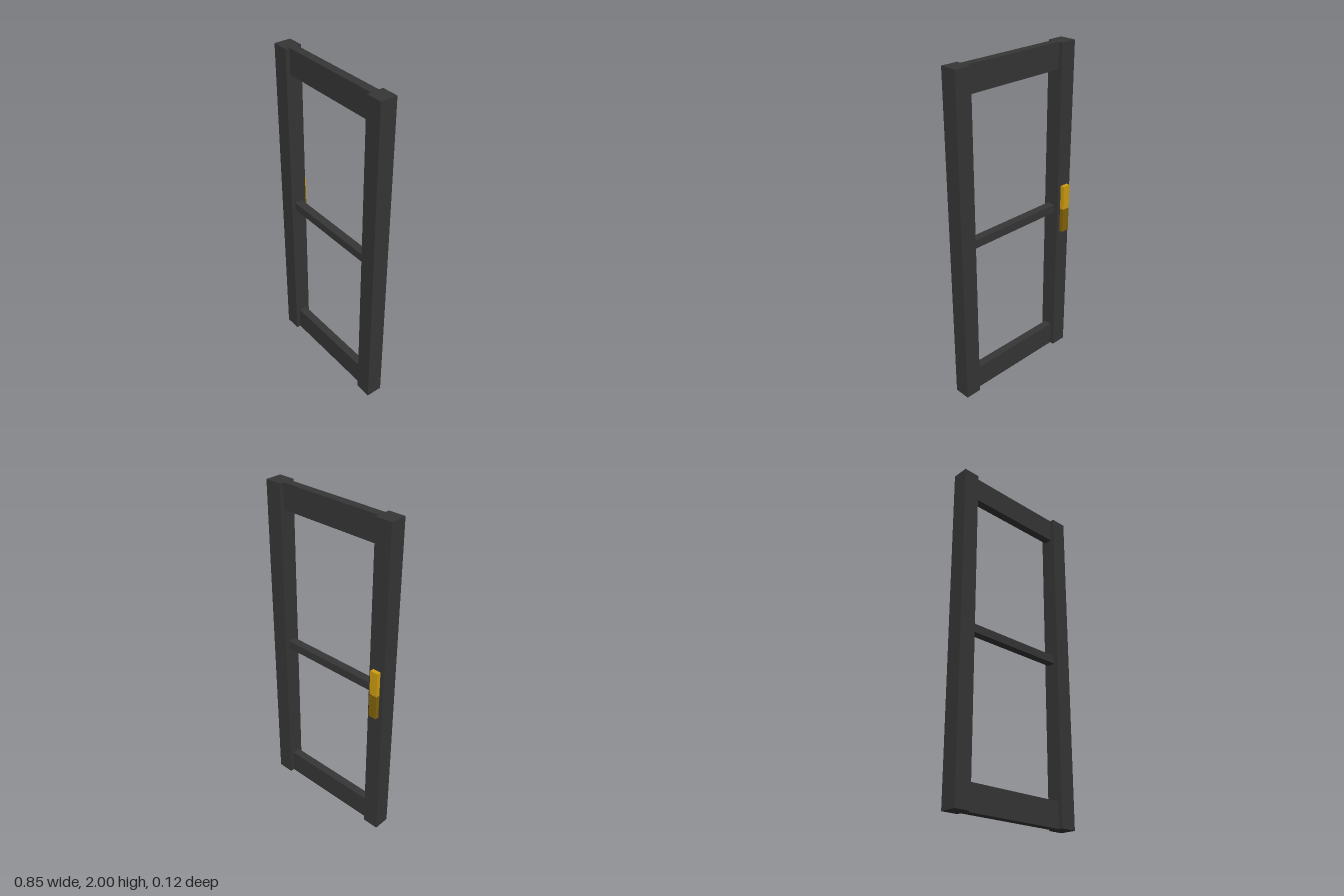
import * as THREE from 'three';

export function createModel() {
  const model = new THREE.Group();
  const frame = new THREE.MeshStandardMaterial({ name: 'charcoal', color: 0x363636 });
  const gold = new THREE.MeshStandardMaterial({ name: 'gold', color: 0xd09e0f });
  const darkGold = new THREE.MeshStandardMaterial({ name: 'dark gold', color: 0x846409 });

  // Box given by its lowest and highest corners
  const box = (name, material, [x0, y0, z0], [x1, y1, z1]) => {
    const mesh = new THREE.Mesh(new THREE.BoxGeometry(x1 - x0, y1 - y0, z1 - z0), material);
    mesh.position.set((x0 + x1) / 2, (y0 + y1) / 2, (z0 + z1) / 2);
    mesh.name = name;
    model.add(mesh);
  };

  // Upright stiles
  box('rightStile', frame, [-0.425, 0, -0.0375], [-0.325, 2, 0.0625]);
  box('leftStile', frame, [0.325, 0, -0.0375], [0.425, 2, 0.0625]);

  // Thinner rails between the stiles
  for (const [name, y0, y1] of [
    ['bottomRail', 0, 0.15],
    ['middleRail', 0.975, 1.025],
    ['topRail', 1.85, 2],
  ]) box(name, frame, [-0.325, y0, -0.0125], [0.325, y1, 0.0375]);

  // Two-tone pull handle on the back of the right stile
  box('handleUpper', gold, [-0.4, 1, -0.0625], [-0.35, 1.15, -0.0375]);
  box('handleLower', darkGold, [-0.4, 0.85, -0.0625], [-0.35, 1, -0.0375]);

  return model;
}
